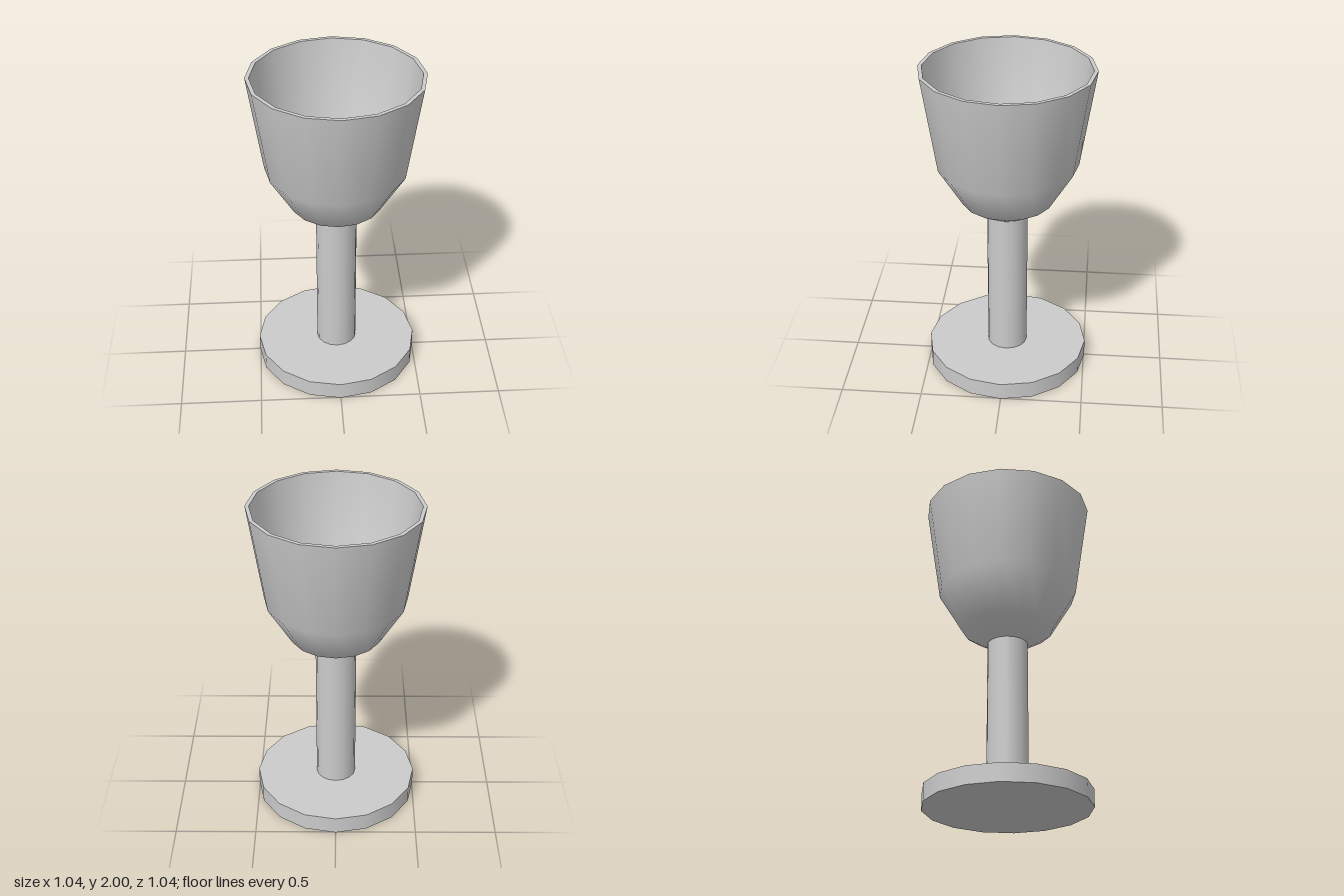
import * as THREE from 'three';

const SIDES = 16;
const material = new THREE.MeshStandardMaterial({ color: 0xcccccc });

function addMesh(parent, name, geometry, y = 0) {
  const mesh = new THREE.Mesh(geometry, material);
  mesh.name = name;
  mesh.position.y = y;
  parent.add(mesh);
}

// Each profile is turned separately, so the joints between them stay sharp
function turned(profile) {
  return new THREE.LatheGeometry(profile.map(([r, y]) => new THREE.Vector2(r, y)), SIDES);
}

export function createModel() {
  const goblet = new THREE.Group();
  goblet.name = 'goblet';

  // Foot and stem
  addMesh(goblet, 'foot', new THREE.CylinderGeometry(0.505, 0.505, 0.11, SIDES), 0.055);
  addMesh(goblet, 'stem', new THREE.CylinderGeometry(0.125, 0.125, 0.96, SIDES), 0.58);

  // Hollow bowl: outside going up, rim, inside going down, floor
  const bowl = new THREE.Group();
  bowl.name = 'bowl';
  goblet.add(bowl);
  addMesh(bowl, 'bowlOutside', turned([[0.12, 1.05], [0.28, 1.15], [0.43, 1.4], [0.522, 2]]));
  addMesh(bowl, 'rim', turned([[0.522, 2], [0.498, 2]]));
  addMesh(bowl, 'bowlInside', turned([[0.498, 2], [0.41, 1.41], [0.267, 1.17]]));
  addMesh(bowl, 'bowlFloor', turned([[0.267, 1.17], [0, 1.17]]));

  return goblet;
}
